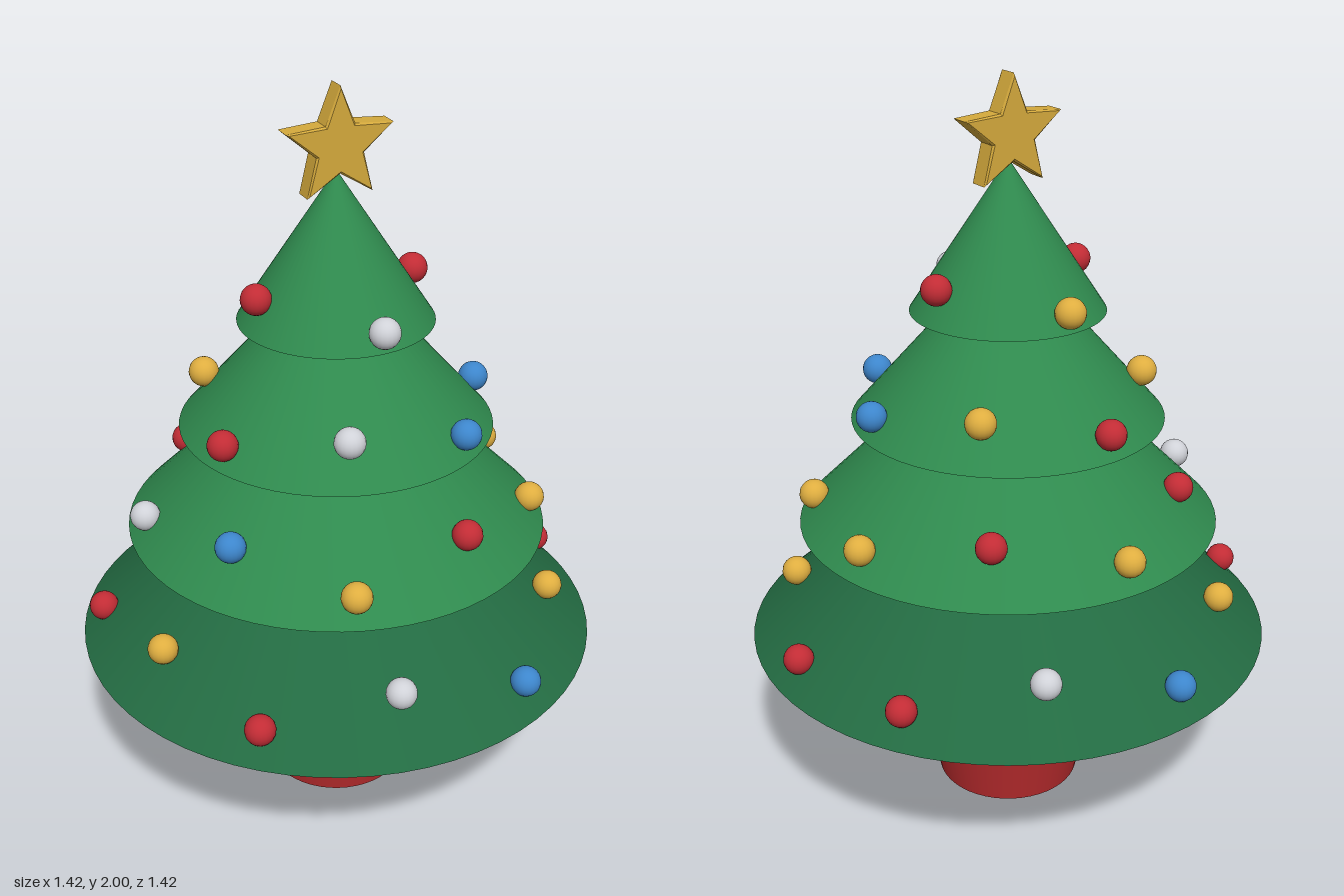
import * as THREE from 'three';

const paint = (name, color) => {
  const m = new THREE.MeshStandardMaterial({ color });
  m.name = name;
  return m;
};

export function createModel() {
  const tree = new THREE.Group();
  tree.name = 'decoratedTree';

  const darkGreen = paint('dark green', 0x236b42);
  const green = paint('green', 0x2f8a4e);
  const brown = paint('bark brown', 0x6b4530);
  const potRed = paint('pot red', 0xb82b2d);
  const gold = paint('gold', 0xd4a93c);
  const red = paint('bauble red', 0xc22c35);
  const yellow = paint('bauble gold', 0xdfae40);
  const blue = paint('bauble blue', 0x3d86cc);
  const silver = paint('bauble silver', 0xd0d2d8);

  const add = (name, geometry, material, x = 0, y = 0, z = 0, parent = tree) => {
    const mesh = new THREE.Mesh(geometry, material);
    mesh.name = name;
    mesh.position.set(x, y, z);
    parent.add(mesh);
    return mesh;
  };
  // Upright tapered cylinder given by its bottom and top heights
  const column = (name, material, rBottom, rTop, y0, y1) =>
    add(name, new THREE.CylinderGeometry(rTop, rBottom, y1 - y0, 48), material, 0, (y0 + y1) / 2, 0);

  // Pot, rim and trunk
  column('pot', potRed, 0.2, 0.25, 0, 0.27);
  column('potRim', gold, 0.275, 0.275, 0.265, 0.305);
  column('trunk', brown, 0.09, 0.075, 0.3, 0.54);

  // Foliage tiers, each with a ring of baubles at two alternating heights
  const tiers = [
    { r: 0.71, y: 0.49, top: 1.125, count: 11, start: 0, low: [0.65, 0.567], high: [0.588, 0.635], mat: darkGreen },
    { r: 0.565, y: 0.82, top: 1.385, count: 9, start: 0.5, low: [0.523, 0.89], high: [0.463, 0.945], mat: green },
    { r: 0.415, y: 1.11, top: 1.58, count: 7, start: 1, low: [0.39, 1.172], high: [0.352, 1.223], mat: green },
    { r: 0.255, y: 1.4, top: 1.79, count: 4, start: 1.5, low: [0.25, 1.453], high: [0.224, 1.492], mat: green },
  ];
  const cycle = [red, yellow, blue, silver, red, yellow];
  const ball = new THREE.SphereGeometry(0.04, 20, 14);
  const baubles = new THREE.Group();
  baubles.name = 'baubles';
  tree.add(baubles);
  let index = 0;

  tiers.forEach((t, n) => {
    const h = t.top - t.y;
    add(`foliageTier${n + 1}`, new THREE.ConeGeometry(t.r, h, 64), t.mat, 0, t.y + h / 2, 0);
    for (let i = 0; i < t.count; i++) {
      const a = t.start + (i / t.count) * Math.PI * 2;
      const [r, y] = i % 2 ? t.high : t.low;
      add('bauble', ball, cycle[index++ % cycle.length], r * Math.cos(a), y, r * Math.sin(a), baubles);
    }
  });

  // Five-pointed star on top
  const outline = new THREE.Shape();
  for (let i = 0; i < 10; i++) {
    const r = i % 2 ? 0.066 : 0.148;
    const a = Math.PI / 2 + (i * Math.PI) / 5;
    outline[i ? 'lineTo' : 'moveTo'](r * Math.cos(a), r * Math.sin(a));
  }
  outline.closePath();
  const star = new THREE.ExtrudeGeometry(outline, {
    depth: 0.05, bevelEnabled: true, bevelThickness: 0.005, bevelSize: 0.005, bevelOffset: -0.005, bevelSegments: 1,
  });
  star.translate(0, 0, -0.025);
  add('topStar', star, gold, 0, 1.852, 0);

  return tree;
}
